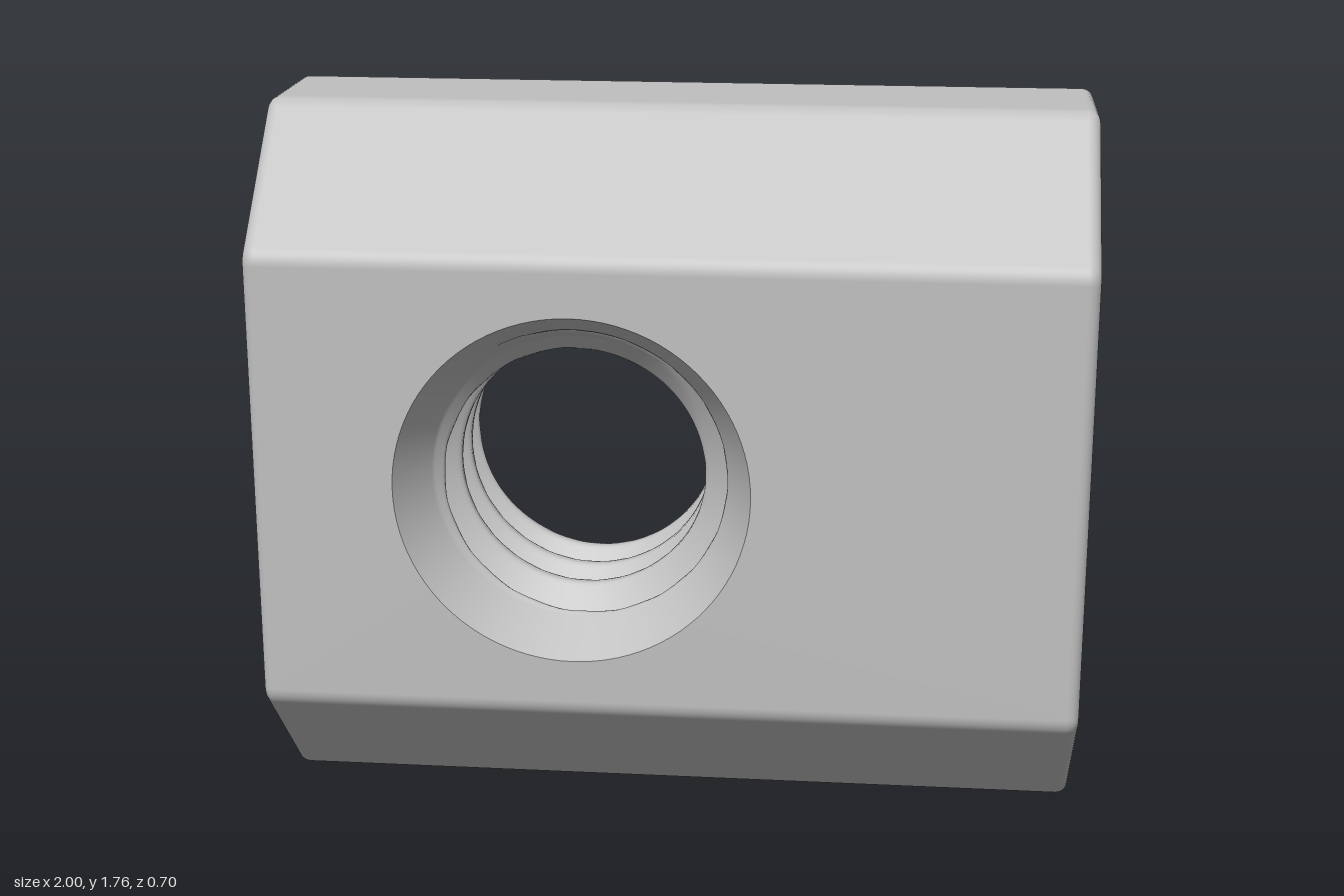
import * as THREE from 'three';

const HOLE = { x: -0.225, y: 0.88, rim: 0.43 };
const HALF_X = 1, HALF_Z = 0.35, HEIGHT = 1.76;
const CORNER = 0.06, END = 0.03;      // long-edge and end-edge fillet radii
const ARC = 6, SEG = 96;

function buildGeometry(pos, idx, normals) {
  const g = new THREE.BufferGeometry();
  g.setAttribute('position', new THREE.Float32BufferAttribute(pos, 3));
  g.setIndex(idx);
  if (normals) g.setAttribute('normal', new THREE.Float32BufferAttribute(normals, 3));
  else g.computeVertexNormals();
  return g;
}

// Side profile as [z, y] corners; each becomes an arc with a centre and sweep of directions
function profileArcs() {
  const pts = [[0.35, 0.32], [0.35, 1.44], [0.03, HEIGHT], [-0.35, HEIGHT], [-0.35, 0], [0.03, 0]]
    .map(p => new THREE.Vector2(...p));
  const normal = (a, b) => new THREE.Vector2(b.y - a.y, a.x - b.x).normalize();
  const out = [];
  pts.forEach((p, i) => {
    const n1 = normal(pts[(i + 5) % 6], p), n2 = normal(p, pts[(i + 1) % 6]);
    const c = p.clone().addScaledVector(n1.clone().add(n2), -CORNER / (1 + n1.dot(n2)));
    const a0 = n1.angle();
    const sweep = Math.acos(n1.dot(n2));
    for (let k = 0; k <= ARC; k++) {
      const a = a0 + sweep * k / ARC;
      out.push({ c, dz: Math.cos(a), dy: Math.sin(a) });
    }
  });
  return out;
}

// Rounded prism shell, leaving the flat front and back open for the pierced faces
function shellGeometry() {
  const arcs = profileArcs(), n = arcs.length;
  const pos = [], nor = [], idx = [], rows = [];
  for (const side of [-1, 1]) {
    for (let j = 0; j <= ARC; j++) {
      const t = (side < 0 ? j - ARC : j) / ARC * Math.PI / 2;
      rows.push({ x: side * (HALF_X - END) + END * Math.sin(t), t });
    }
  }
  const ring = ({ x, t }, flat) => {
    const r = CORNER - END * (1 - Math.cos(t));
    for (const { c, dz, dy } of arcs) {
      pos.push(x, c.y + dy * r, c.x + dz * r);
      if (flat) nor.push(Math.sign(x), 0, 0);
      else nor.push(Math.sin(t), dy * Math.cos(t), dz * Math.cos(t));
    }
  };
  rows.forEach(row => ring(row));
  const frontEdge = ARC, backEdge = 3 * (ARC + 1) + ARC;
  for (let j = 0; j < rows.length - 1; j++) {
    for (let k = 0; k < n; k++) {
      if (j === ARC && (k === frontEdge || k === backEdge)) continue;
      const k2 = (k + 1) % n;
      const a = j * n + k, b = j * n + k2, d = a + n, e = b + n;
      idx.push(a, d, b, d, e, b);
    }
  }
  // Flat end caps
  for (const row of [rows[0], rows[rows.length - 1]]) {
    const s = pos.length / 3;
    ring(row, true);
    for (let k = 1; k < n - 1; k++) {
      if (row.x > 0) idx.push(s, s + k + 1, s + k);
      else idx.push(s, s + k, s + k + 1);
    }
  }
  return buildGeometry(pos, idx, nor);
}

// Flat rectangular face with the round opening
function piercedFace(y0, y1, holeX) {
  const w = HALF_X - END;
  const shape = new THREE.Shape([[-w, y0], [w, y0], [w, y1], [-w, y1]].map(p => new THREE.Vector2(...p)));
  const hole = [];
  for (let i = 0; i < SEG; i++) {
    const a = i / SEG * Math.PI * 2;
    hole.push(new THREE.Vector2(holeX + HOLE.rim * Math.cos(a), HOLE.y + HOLE.rim * Math.sin(a)));
  }
  shape.holes.push(new THREE.Path(hole));
  return new THREE.ShapeGeometry(shape).translate(0, 0, HALF_Z);
}

// Bore radius: countersinks at both ends, right-hand helical thread between
function boreRadius(z, a) {
  const depth = HALF_Z - Math.abs(z), pitch = 0.135;
  const cone = depth < 0.13 ? HOLE.rim - 0.577 * depth : 0.355 - (depth - 0.13);
  const f = (z - 0.29) / pitch - (a - Math.PI) / (Math.PI * 2);
  const u = Math.abs(f - Math.round(f)) * pitch;
  const thread = Math.max(0.307, 0.385 - 1.4 * u);
  return Math.max(cone, thread);
}

function boreGeometry() {
  const pos = [], idx = [], rows = 140;
  for (let j = 0; j <= rows; j++) {
    const z = -HALF_Z + 2 * HALF_Z * j / rows;
    for (let i = 0; i < SEG; i++) {
      const a = i / SEG * Math.PI * 2, r = boreRadius(z, a);
      pos.push(HOLE.x + r * Math.cos(a), HOLE.y + r * Math.sin(a), z);
      if (j === rows) continue;
      const p = j * SEG + i, q = j * SEG + (i + 1) % SEG;
      idx.push(p, p + SEG, q, q, p + SEG, q + SEG);
    }
  }
  return buildGeometry(pos, idx);
}

export function createModel() {
  const steel = new THREE.MeshStandardMaterial({ color: 0xc0c0c0 });
  steel.name = 'steel grey';
  const group = new THREE.Group();
  group.name = 'slotNut';
  const add = (name, geometry) => {
    const mesh = new THREE.Mesh(geometry, steel);
    mesh.name = name;
    group.add(mesh);
  };
  const tangent = CORNER * Math.tan(Math.PI / 8);
  add('bodyShell', shellGeometry());
  add('frontFace', piercedFace(0.32 + tangent, 1.44 - tangent, HOLE.x));
  add('backFace', piercedFace(CORNER, HEIGHT - CORNER, -HOLE.x).rotateY(Math.PI));
  add('threadedBore', boreGeometry());
  return group;
}
